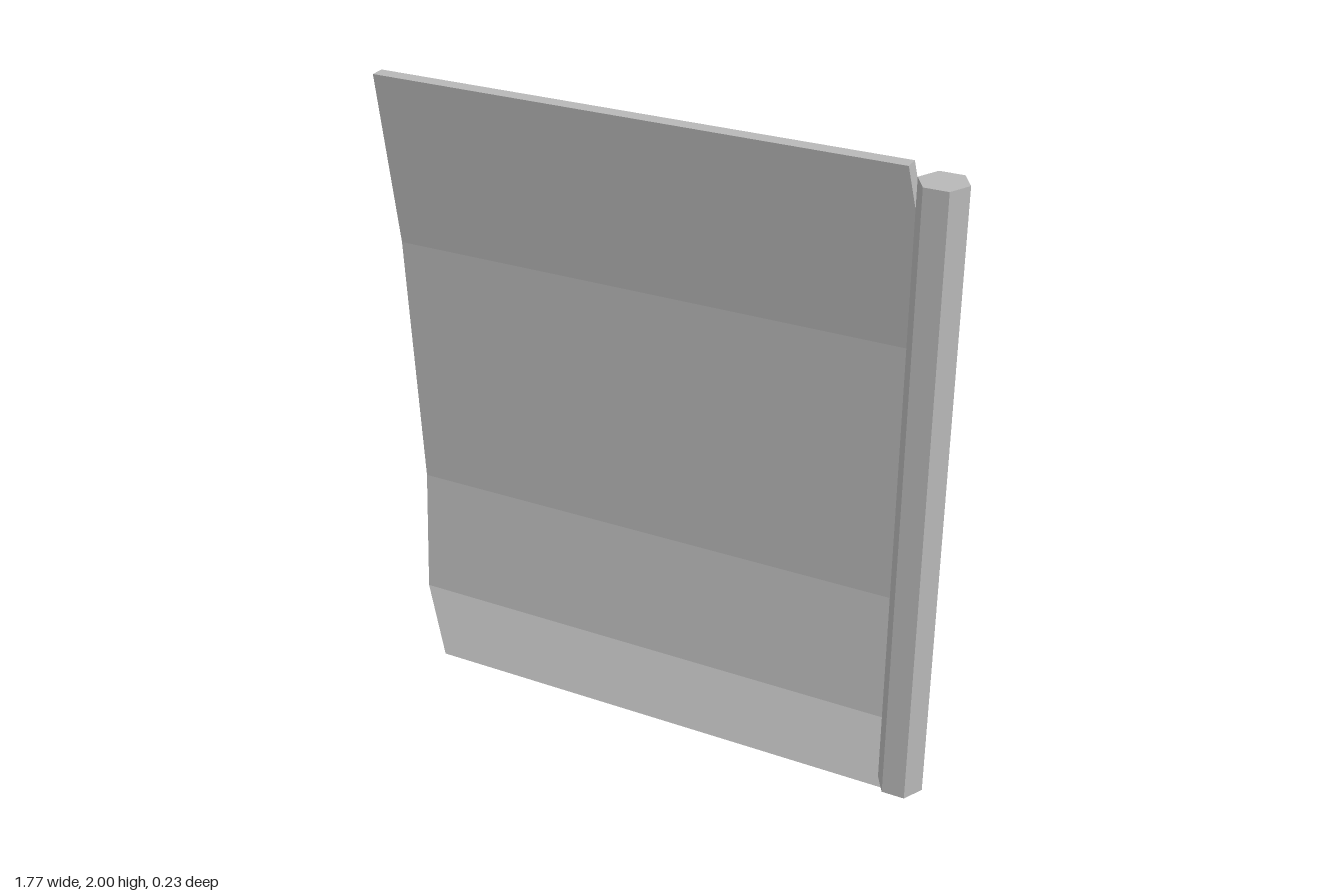
import * as THREE from 'three';

// Loft a bent sheet through four-cornered sections, from bottom to top
function sheetGeometry(sections) {
  const rings = sections.map(([y, left, right, front, back]) => [
    [left, y, front], [right, y, front], [right, y, back], [left, y, back],
  ]);
  const pos = [];
  const quad = (a, b, c, d) => pos.push(...a, ...b, ...c, ...a, ...c, ...d);
  for (let i = 0; i < rings.length - 1; i++) {
    const lo = rings[i], hi = rings[i + 1];
    for (let k = 0; k < 4; k++) {
      const n = (k + 1) % 4;
      quad(lo[k], lo[n], hi[n], hi[k]);
    }
  }
  const bottom = rings[0], top = rings[rings.length - 1];
  quad(bottom[3], bottom[2], bottom[1], bottom[0]);
  quad(top[0], top[1], top[2], top[3]);
  const g = new THREE.BufferGeometry();
  g.setAttribute('position', new THREE.Float32BufferAttribute(pos, 3));
  g.computeVertexNormals();
  return g;
}

export function createModel() {
  const group = new THREE.Group();
  group.name = 'bentPanelWithPost';
  const grey = new THREE.MeshStandardMaterial({ color: 0xb8b8b8, flatShading: true });
  grey.name = 'grey';

  // Bent sheet: y, left x, right x, front z, back z
  const panel = new THREE.Mesh(sheetGeometry([
    [0, -0.79, 0.815, 0.04, -0.005],
    [0.2, -0.89, 0.81, -0.037, -0.08],
    [0.61, -0.89, 0.81, -0.07, -0.115],
    [1.45, -0.89, 0.81, -0.025, -0.068],
    [2, -0.89, 0.72, 0.058, 0.013],
  ]), grey);
  panel.name = 'panel';
  group.add(panel);

  // Six-sided post along one edge, leaning slightly forward
  const post = new THREE.Mesh(
    new THREE.CylinderGeometry(0.07, 0.07, 1.945, 6).rotateY(Math.PI / 6), grey);
  post.name = 'post';
  post.position.set(0.815, 1.003, 0.044);
  post.rotation.x = 0.0134;
  group.add(post);

  return group;
}
